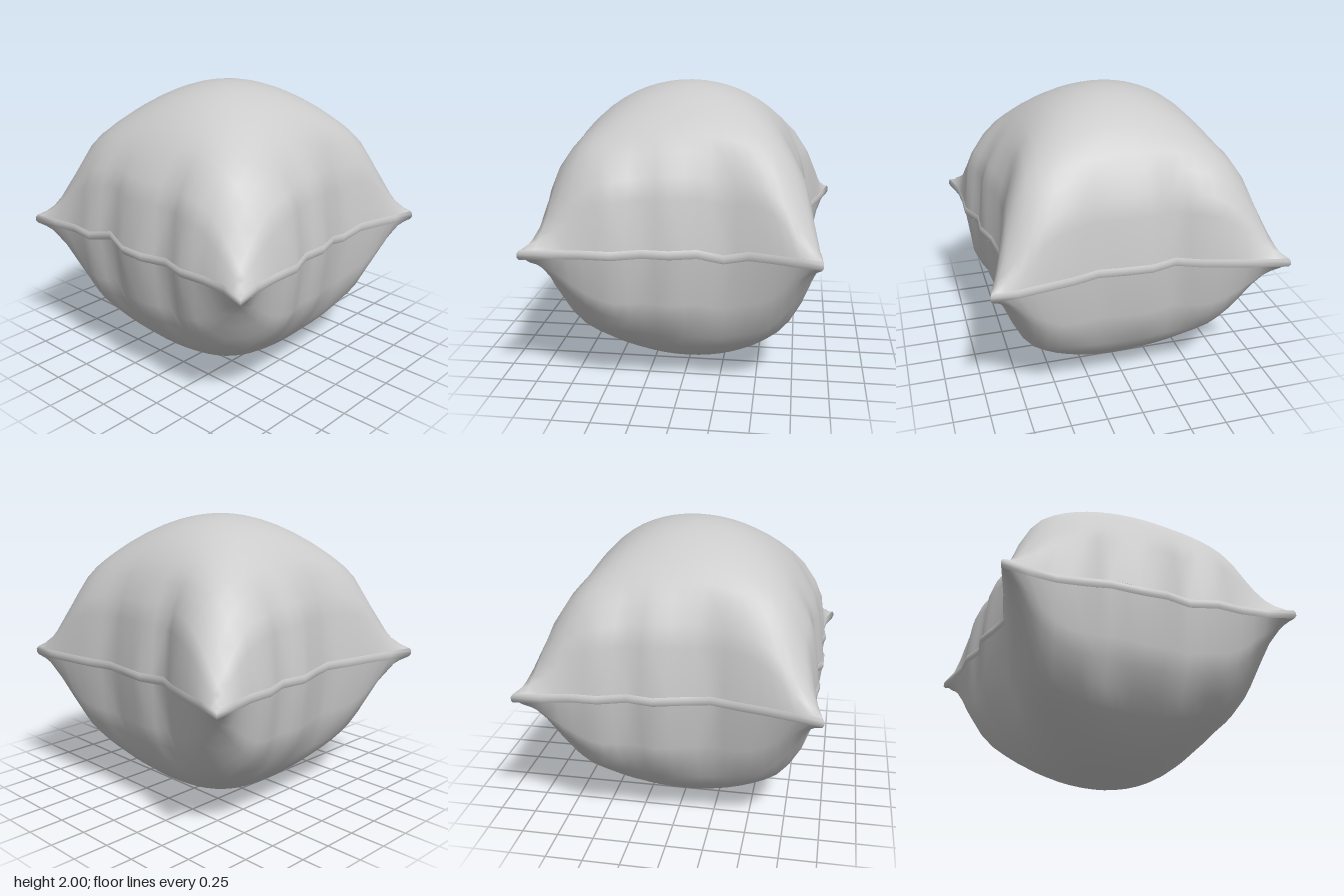
import * as THREE from 'three';

// Pinched outline of the seam, sampled evenly along each side
const FRONT = [0.99, 0.95, 0.925, 0.945, 0.905, 0.955, 0.955, 0.905, 0.955, 0.935, 0.95, 1];
const BACK = [-1, -0.955, -0.91, -0.86, -0.78, -0.83, -0.82, -0.8, -0.85, -0.88, -0.91, -0.92];
const LEFT = [0.97, 0.93, 0.88, 0.84, 0.81, 0.84, 0.89, 0.88, 0.95, 0.945, 0.955, 1];
const RIGHT = [-1, -0.965, -0.93, -0.93, -0.87, -0.9, -0.85, -0.81, -0.86, -0.9, -0.95, -1];
const SEGS = FRONT.length - 1;
const { lerp, smoothstep } = THREE.MathUtils;

// Side position at u; the small wrinkles fade into an even curve away from the seam
function sample(side, u, wrinkle) {
  const f = (u + 1) / 2 * SEGS;
  const i = Math.min(Math.floor(f), SEGS - 1);
  const middle = side.slice(3, 9).reduce((sum, x) => sum + x, 0) / 6;
  const even = lerp(lerp(side[0], side[SEGS], (u + 1) / 2), middle, 1 - u * u);
  return lerp(even, lerp(side[i], side[i + 1], f - i), wrinkle);
}

// Point on the flat sheet for u (x direction) and v (z direction), both -1..1
function sheetPoint(u, v) {
  const kink = (a) => Math.max(0, 1 - Math.abs(a + 0.27) / 0.18);
  const wrinkleX = smoothstep(Math.abs(u), 0.7, 1);
  const wrinkleZ = smoothstep(Math.abs(v), 0.7, 1);
  const s = (u + 1) / 2, t = (v + 1) / 2;
  return new THREE.Vector3(
    lerp(sample(RIGHT, v, wrinkleX), sample(LEFT, v, wrinkleX), s),
    1 + 0.04 * kink(u) * smoothstep(v, 0.7, 1) - 0.04 * kink(v) * smoothstep(u, 0.7, 1),
    lerp(sample(BACK, u, wrinkleZ), sample(FRONT, u, wrinkleZ), t) - 0.08 * s * (1 - v * v)
  );
}

// Puffed height: full in the middle, ridged on the diagonals, tapering to the corner tips
function puff(u, v) {
  const corner = u * u * v * v;
  const full = Math.pow(Math.max(0, (1 - u * u) * (1 - v * v) * (1 + 0.5 * corner)), 0.43);
  return full * (1 - 0.75 * smoothstep(corner, 0.2, 0.85));
}

function makeGeometry(positions, index) {
  const geometry = new THREE.BufferGeometry();
  geometry.setAttribute('position', new THREE.Float32BufferAttribute(positions, 3));
  geometry.setIndex(index);
  geometry.computeVertexNormals();
  return geometry;
}

// One cloth half; sign 1 is the top, -1 the bottom
function panelGeometry(sign) {
  const knots = [-1, -0.96];
  for (let i = 1; i < SEGS * 2; i++) knots.push(-1 + i / SEGS);
  knots.push(0.96, 1);
  const n = knots.length;
  const positions = [], index = [];
  knots.forEach((v, j) => knots.forEach((u, i) => {
    const p = sheetPoint(u, v);
    positions.push(p.x * 0.99, p.y + sign * (0.03 + 0.97 * puff(u, v)), p.z * 0.99);
    if (i === n - 1 || j === n - 1) return;
    const a = j * n + i, b = a + 1, c = a + n, d = c + 1;
    if (sign > 0) index.push(a, c, b, b, c, d);
    else index.push(a, b, c, b, d, c);
  }));
  return makeGeometry(positions, index);
}

// Narrow rounded band swept around the outline
function seamGeometry() {
  const loop = [];
  for (let i = 0; i < SEGS; i++) loop.push([-1 + 2 * i / SEGS, 1]);
  for (let i = 0; i < SEGS; i++) loop.push([1, 1 - 2 * i / SEGS]);
  for (let i = 0; i < SEGS; i++) loop.push([1 - 2 * i / SEGS, -1]);
  for (let i = 0; i < SEGS; i++) loop.push([-1, -1 + 2 * i / SEGS]);
  const section = [[0.99, -0.03], [1, -0.012], [1, 0.012], [0.99, 0.03]];
  const m = section.length, positions = [], index = [];
  loop.forEach(([u, v], k) => {
    const p = sheetPoint(u, v);
    const next = (k + 1) % loop.length;
    section.forEach(([scale, dy], s) => {
      positions.push(p.x * scale, p.y + dy, p.z * scale);
      if (s === m - 1) return;
      const a = k * m + s, b = next * m + s;
      index.push(a, b, a + 1, b, b + 1, a + 1);
    });
  });
  return makeGeometry(positions, index);
}

export function createModel() {
  const group = new THREE.Group();
  group.name = 'pillow';
  const material = new THREE.MeshStandardMaterial({ color: 0xcccccc, side: THREE.DoubleSide });
  const add = (name, geometry) => {
    const mesh = new THREE.Mesh(geometry, material);
    mesh.name = name;
    group.add(mesh);
  };
  add('topPanel', panelGeometry(1));
  add('bottomPanel', panelGeometry(-1));
  add('seam', seamGeometry());
  return group;
}
